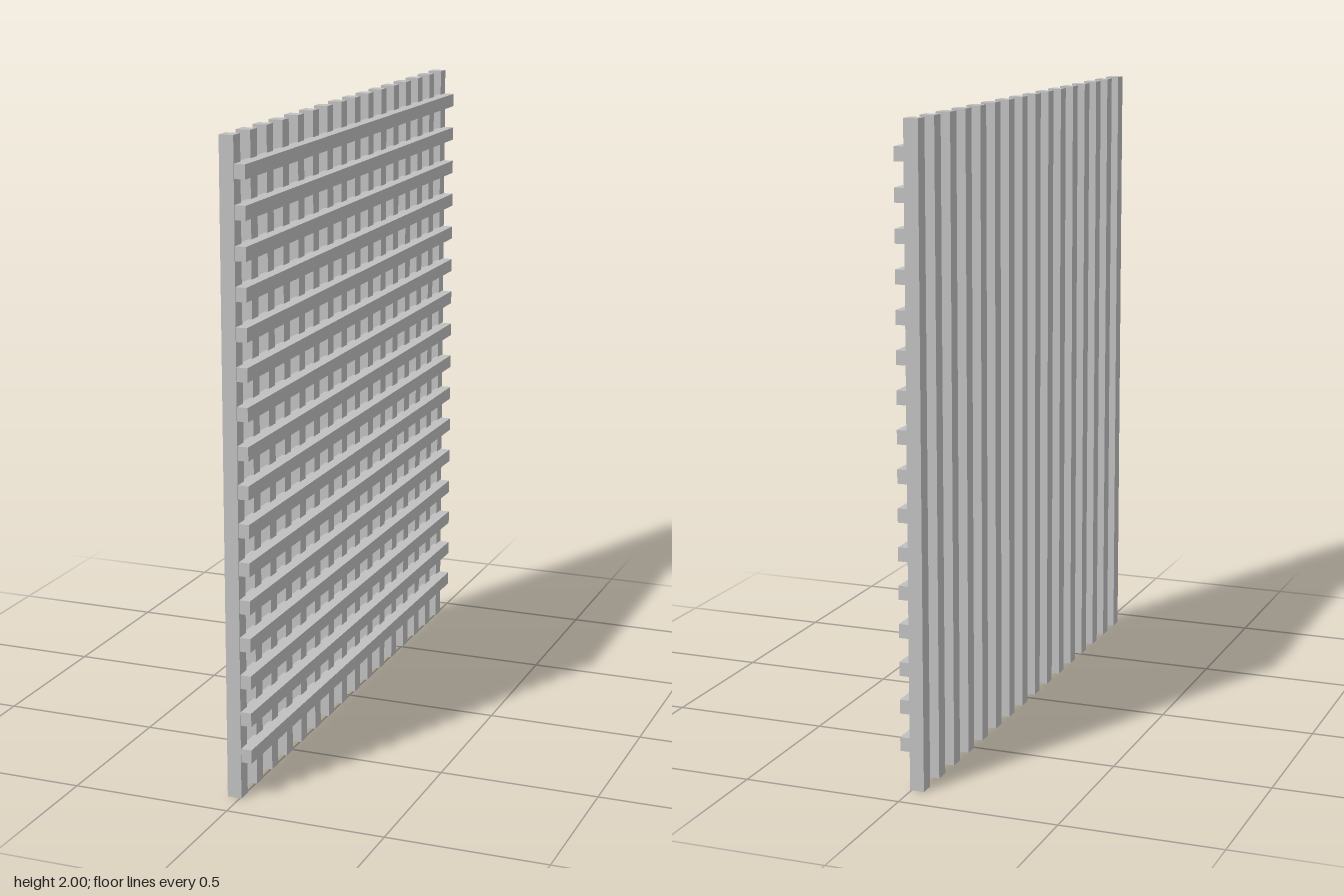
import * as THREE from 'three';

const COUNT = 16;
const SPACING = 0.1173;

export function createModel() {
  const grey = new THREE.MeshStandardMaterial({ color: 0xc0c0c0 });
  grey.name = 'grey';

  const model = new THREE.Group();
  model.name = 'lattice';

  // Upright bars on the -x side, horizontal slats overlapping them slightly on the +x side
  const uprights = new THREE.Group();
  uprights.name = 'uprights';
  const slats = new THREE.Group();
  slats.name = 'slats';
  model.add(uprights, slats);

  const uprightGeometry = new THREE.BoxGeometry(0.045, 2, 0.047);
  const slatGeometry = new THREE.BoxGeometry(0.043, 0.043, 1.796);

  for (let i = 0; i < COUNT; i++) {
    const upright = new THREE.Mesh(uprightGeometry, grey);
    upright.name = 'upright';
    upright.position.set(-0.0175, 1, (i - (COUNT - 1) / 2) * SPACING);
    uprights.add(upright);

    const slat = new THREE.Mesh(slatGeometry, grey);
    slat.name = 'slat';
    slat.position.set(0.0175, 0.138 + i * SPACING, 0.003);
    slats.add(slat);
  }
  return model;
}
